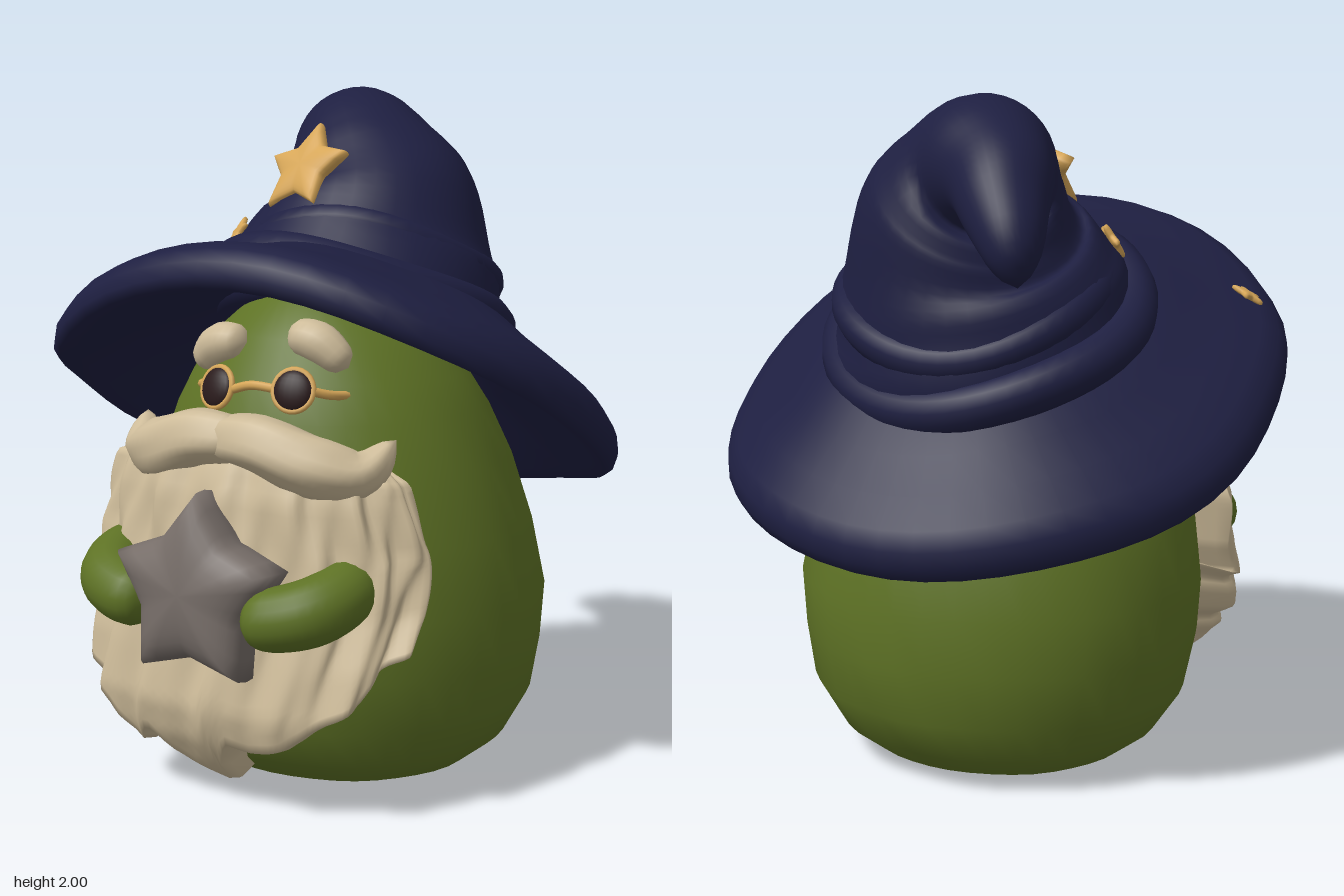
import * as THREE from 'three';
import { mergeVertices } from 'three/addons/utils/BufferGeometryUtils.js';

const V = (x, y, z) => new THREE.Vector3(x, y, z);
const paint = (name, color) => new THREE.MeshStandardMaterial({ name, color, side: THREE.DoubleSide });

// weld seams and give smooth normals
function smooth(geo) {
  geo.deleteAttribute('uv');
  geo.deleteAttribute('normal');
  const g = mergeVertices(geo, 1e-4);
  g.computeVertexNormals();
  return g;
}

// move every vertex by a rule
function warp(geo, rule) {
  const p = geo.attributes.position, v = V(0, 0, 0);
  for (let i = 0; i < p.count; i++) {
    rule(v.fromBufferAttribute(p, i));
    p.setXYZ(i, v.x, v.y, v.z);
  }
  return smooth(geo);
}

// surface through a grid of points
function grid(rows, cols, point) {
  const pos = [], idx = [], w = cols + 1;
  for (let i = 0; i <= rows; i++)
    for (let j = 0; j <= cols; j++) pos.push(...point(i / rows, j / cols).toArray());
  for (let i = 0; i < rows; i++)
    for (let j = 0; j < cols; j++) {
      const a = i * w + j;
      idx.push(a, a + 1, a + w, a + 1, a + w + 1, a + w);
    }
  const g = new THREE.BufferGeometry();
  g.setAttribute('position', new THREE.Float32BufferAttribute(pos, 3));
  g.setIndex(idx);
  return smooth(g);
}

// tapering round limb along [x, y, z, radius] stations, with rounded ends
function limb(stations, rows, cols, roundness, ripple = () => 1) {
  const path = new THREE.CatmullRomCurve3(stations.map(s => V(s[0], s[1], s[2])));
  const radius = new THREE.CatmullRomCurve3(stations.map(s => V(s[3], 0, 0)));
  const f = path.computeFrenetFrames(rows);
  return grid(rows, cols, (u, v) => {
    const i = Math.round(u * rows), a = v * Math.PI * 2;
    const e = Math.min(1, roundness * Math.min(u, 1 - u));
    const r = radius.getPoint(path.getUtoTmapping(u)).x * Math.sqrt(1 - (1 - e) ** 2) * ripple(u, a);
    return path.getPointAt(u).addScaledVector(f.normals[i], r * Math.cos(a))
      .addScaledVector(f.binormals[i], r * Math.sin(a));
  });
}

// puffy five-pointed star facing +z
function starGeometry(outer, inner, half, flat) {
  const step = Math.PI / 5;
  const cx = inner * Math.cos(step), cy = inner * Math.sin(step);
  return warp(new THREE.SphereGeometry(1, 40, 16).rotateX(Math.PI / 2), v => {
    const phi = Math.atan2(v.y, v.x), rho = Math.hypot(v.x, v.y);
    let d = (phi - Math.PI / 2) % (2 * step);
    if (d < 0) d += 2 * step;
    d = Math.min(d, 2 * step - d);
    const edge = outer * cy / (cy * Math.cos(d) + (outer - cx) * Math.sin(d));
    v.set(Math.cos(phi) * rho * edge, Math.sin(phi) * rho * edge, Math.sign(v.z) * half * Math.abs(v.z) ** flat);
  });
}

// piecewise linear lookup in [key, value] pairs, keys rising
function lookup(table, k) {
  if (k <= table[0][0]) return table[0][1];
  for (let i = 1; i < table.length; i++) {
    const [a, b] = [table[i - 1], table[i]];
    if (k <= b[0]) return a[1] + (b[1] - a[1]) * (k - a[0]) / (b[0] - a[0]);
  }
  return table[table.length - 1][1];
}

export function createModel() {
  const model = new THREE.Group();
  const green = paint('mossGreen', 0x5e7225), navy = paint('hatNavy', 0x1e1f41);
  const cream = paint('beardCream', 0xcebc9a), stone = paint('stoneGrey', 0x766d68);
  const gold = paint('gold', 0xd6a658), dark = paint('lensDark', 0x2a1b1c);
  const add = (name, geo, mat, parent = model) => {
    const m = new THREE.Mesh(geo, mat);
    m.name = name;
    parent.add(m);
    return m;
  };

  // egg-shaped body, slightly lumpy, head leaning forward
  const bodyProfile = [[0, 0], [0.32, 0.002], [0.41, 0.03], [0.5, 0.1], [0.575, 0.22], [0.605, 0.38], [0.615, 0.55],
    [0.585, 0.75], [0.525, 0.95], [0.465, 1.1], [0.41, 1.2], [0.32, 1.32], [0.2, 1.42], [0.08, 1.465], [0, 1.475]];
  add('body', warp(new THREE.LatheGeometry(bodyProfile.map(p => new THREE.Vector2(...p)), 40), v => {
    const k = 1 + 0.012 * Math.sin(v.x * 17 + v.y * 9) * Math.sin(v.z * 15 - v.y * 11);
    v.set(v.x * k, v.y, v.z * 0.95 * k + 0.05 * v.y * v.y);
  }), green);

  // beard: curved shell with strands, a ragged lower edge and edges tucked into the body
  const bottom = [[-1, 0.5], [-0.9, 0.34], [-0.75, 0.25], [-0.55, 0.12], [-0.42, 0.19], [-0.3, 0.12],
    [-0.05, 0.01], [0.0, 0.1], [0.1, 0.19], [0.25, 0.17], [0.45, 0.2], [0.65, 0.27], [0.85, 0.36], [1, 0.5]];
  const width = [[0.3, 0.53], [0.5, 0.54], [0.75, 0.55], [0.95, 0.49], [1.08, 0.39]];
  const front = [[0.02, 0.49], [0.1, 0.6], [0.2, 0.67], [0.3, 0.7], [0.6, 0.655], [0.9, 0.63], [1.1, 0.56]];
  const sideEdge = [[0.25, 0.52], [0.45, 0.48], [0.6, 0.4], [0.77, 0.36], [0.95, 0.38], [1.05, 0.43]];
  add('beard', grid(34, 88, (v, u) => {
    const w = u * 2 - 1, a = w * 1.06 * Math.PI / 2, s = Math.sin(a);
    const t = Math.min(1, v / 0.93), tuck = Math.max(0, (v - 0.93) / 0.07, (0.06 - v) / 0.06);
    const sideTuck = Math.max(0, (Math.abs(w) - 0.94) / 0.06);
    const top = 1.08 - 0.09 * s * s;
    const y = top + (lookup(bottom, s) - top) * t;
    const k = 1 + 0.035 * Math.sin(a * 15 + 1.6 * Math.sin(y * 8)) + 0.015 * Math.sin(a * 29 - y * 14);
    const base = lookup(sideEdge, y);
    const z = base + (lookup(front, y) - base) * Math.cos(a) * k;
    return V(lookup(width, y) * s * k * (1 - 0.15 * tuck) * (1 - 0.25 * sideTuck) - 0.02,
      y + (v > 0.5 ? 0.05 * tuck : 0), z + (0.36 - z) * tuck);
  }), cream);

  // paired moustache halves, eyebrows and arms
  for (const side of [-1, 1]) {
    const label = side > 0 ? 'left' : 'right';
    add(label + 'Moustache', limb([[-0.07 * side, 1.06, 0.575, 0.06], [0.1 * side, 1.06, 0.585, 0.08],
      [0.25 * side, 1.01, 0.55, 0.085], [0.37 * side, 0.99, 0.48, 0.065], [0.43 * side, 1.075, 0.4, 0.022]],
      22, 18, 8, (u, a) => 1 + 0.06 * Math.sin(a * 5 + u * 6)), cream);
    const lift = side > 0 ? 0.03 : 0;
    add(label + 'Eyebrow', limb([[0.075 * side, 1.305 + lift, 0.395, 0.045], [0.165 * side, 1.295 + lift, 0.39, 0.058],
      [0.255 * side, 1.225 + lift, 0.37, 0.04]], 12, 12, 5), cream);
    const x = d => d * side - 0.025;
    add(label + 'Arm', limb([[x(0.36), 0.69, 0.45, 0.075], [x(0.385), 0.665, 0.55, 0.09], [x(0.345), 0.63, 0.65, 0.095],
      [x(0.25), 0.605, 0.695, 0.09], [x(0.16), 0.6, 0.7, 0.08]], 20, 18, 6), green);
  }

  // held star
  const heldStar = add('heldStar', starGeometry(0.285, 0.185, 0.11, 0.65), stone);
  heldStar.position.set(-0.03, 0.645, 0.685);
  heldStar.rotation.x = -0.08;

  // spectacles
  const glasses = new THREE.Group();
  glasses.name = 'glasses';
  model.add(glasses);
  for (const [x, y, turn] of [[-0.105, 1.185, -0.2], [0.155, 1.2, 0.25]]) {
    const eye = new THREE.Group();
    eye.name = 'eyepiece';
    eye.position.set(x, y, 0.495);
    eye.rotation.set(-0.3, turn, 0);
    glasses.add(eye);
    add('rim', new THREE.TorusGeometry(0.058, 0.009, 8, 24), gold, eye);
    add('lens', new THREE.SphereGeometry(0.058, 20, 12), dark, eye).scale.z = 0.4;
  }
  const wire = (name, ...pts) => add(name,
    new THREE.TubeGeometry(new THREE.CatmullRomCurve3(pts), 10, 0.013, 8), gold, glasses);
  wire('bridge', V(-0.05, 1.185, 0.5), V(0.025, 1.205, 0.51), V(0.1, 1.2, 0.5));
  wire('rightTemple', V(-0.155, 1.19, 0.48), V(-0.2, 1.18, 0.44), V(-0.24, 1.17, 0.36));
  wire('leftTemple', V(0.205, 1.2, 0.48), V(0.235, 1.185, 0.43), V(0.26, 1.175, 0.35));

  // hat brim and folds, tilted back
  const hat = new THREE.Group(), tilted = new THREE.Group();
  hat.name = 'hat';
  tilted.name = 'brimAndFolds';
  tilted.position.y = 1.09;
  tilted.rotation.x = -0.4636;
  hat.add(tilted);
  model.add(hat);
  const brimProfile = [[0.38, 0.22], [0.48, 0.16], [0.62, 0.09], [0.75, 0.015], [0.8, 0], [0.82, 0.025], [0.825, 0.065],
    [0.81, 0.11], [0.77, 0.15], [0.68, 0.19], [0.57, 0.24], [0.48, 0.29], [0.4, 0.31]];
  add('brim', warp(new THREE.LatheGeometry(brimProfile.map(p => new THREE.Vector2(...p)), 48), v => {
    const a = Math.atan2(v.x, v.z), r = Math.hypot(v.x, v.z);
    v.y += 0.05 * v.x - 0.13 * v.x * v.x + 0.05 * Math.max(0, v.z) ** 2 + 0.012 * r * Math.sin(a * 5 + 1)
      - 0.05 * Math.exp(-((v.x + 0.6) ** 2 + (v.z - 0.55) ** 2) / 0.06);
    const corner = v.z > 0 ? 1 + 0.06 * r * Math.sin(2 * a) ** 2 : 1;
    v.x *= corner;
    v.z *= 1.04 * corner;
  }), navy, tilted);
  const fold = (name, x, y, R, tube, lean) => {
    const m = add(name, warp(new THREE.TorusGeometry(R, tube, 12, 48).rotateX(Math.PI / 2), v => {
      v.y += 0.015 * Math.sin(3 * Math.atan2(v.x, v.z) + R * 20);
    }), navy, tilted);
    m.position.set(x, y, -0.03);
    m.rotation.z = lean;
  };
  fold('lowerFold', -0.06, 0.29, 0.425, 0.07, 0.03);
  fold('upperFold', -0.05, 0.42, 0.355, 0.06, 0.1);

  // drooping pointed crown
  add('crown', limb([[-0.03, 1.22, -0.1, 0.47], [-0.04, 1.35, -0.15, 0.45], [-0.04, 1.49, -0.2, 0.395],
    [-0.05, 1.61, -0.25, 0.335], [-0.11, 1.73, -0.3, 0.27], [-0.18, 1.8, -0.355, 0.205], [-0.27, 1.79, -0.44, 0.16],
    [-0.35, 1.72, -0.53, 0.125], [-0.41, 1.63, -0.595, 0.09], [-0.44, 1.52, -0.61, 0.045]], 48, 36, 14,
    (u, a) => 1 + 0.015 * Math.sin(u * 34 + 2 * Math.sin(a))), navy, hat);

  // gold stars laid on the hat from above, leaning forward
  hat.updateMatrixWorld(true);
  const down = new THREE.Raycaster();
  const patches = [];
  for (const [name, x, z, size, spin] of [['largeStar', -0.11, 0.015, 0.155, 0.12],
    ['smallStar', -0.35, 0.04, 0.06, 0.4], ['brimStar', -0.6, 0.43, 0.055, 0.2]]) {
    down.set(V(x, 4, z), V(0, -1, 0));
    const hit = down.intersectObject(hat, true)[0];
    if (!hit) continue;
    const n = hit.face.normal.clone().transformDirection(hit.object.matrixWorld);
    if (n.y < 0) n.negate();
    n.add(V(0, 0, 0.35)).normalize();
    const star = new THREE.Mesh(starGeometry(size, size * 0.56, size * 0.2, 0.6), gold);
    star.name = name;
    star.position.copy(hit.point).addScaledVector(n, size * 0.14);
    star.lookAt(star.position.clone().add(n));
    star.rotateZ(spin);
    patches.push(star);
  }
  hat.add(...patches);
  return model;
}
